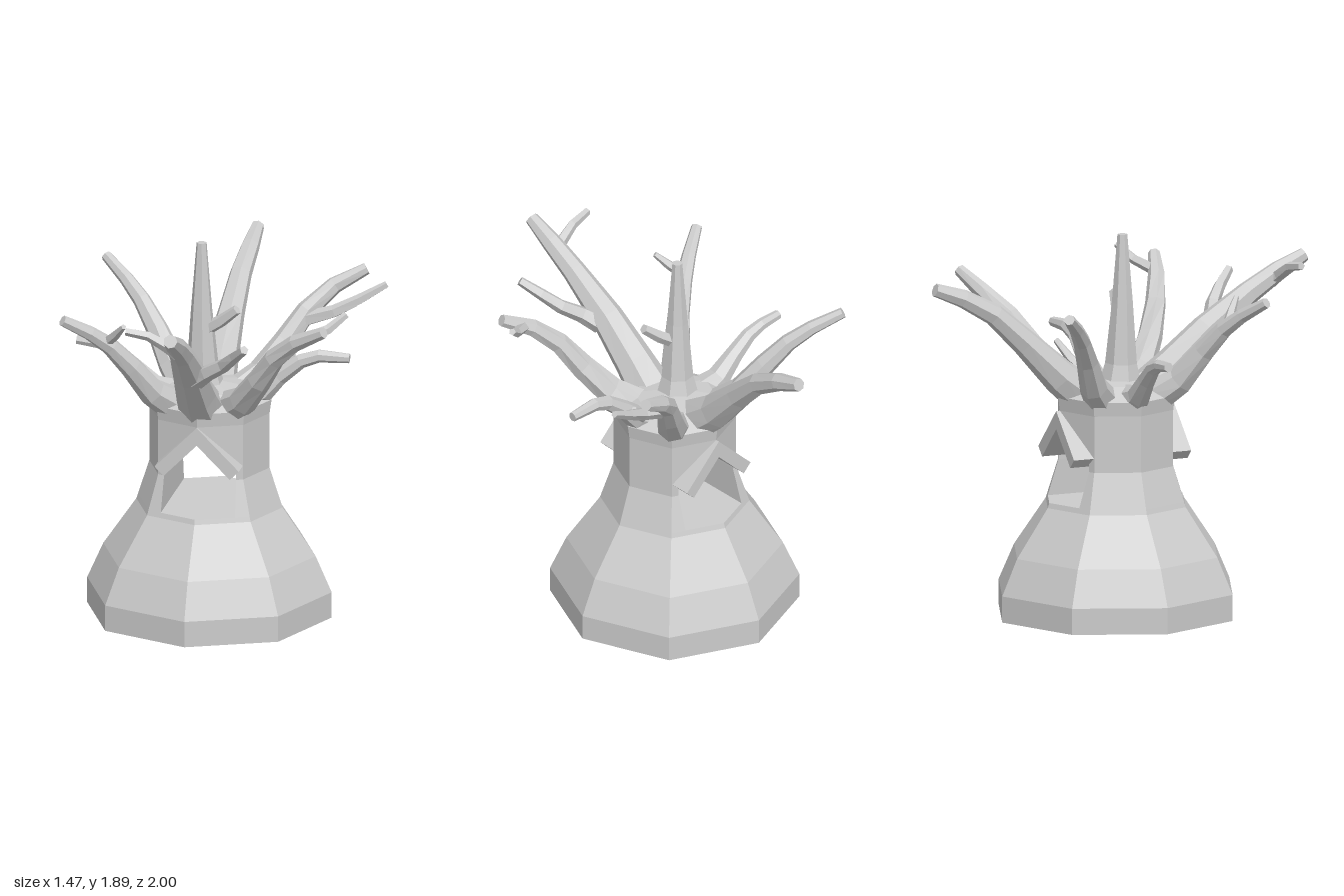
import * as THREE from 'three';

const CX = -0.065, CZ = -0.04; // trunk axis
const HALF = 0.185;            // half width of the passage

const material = () => new THREE.MeshStandardMaterial({ color: 0xcccccc, flatShading: true });

// Collects triangles from Vector3 corners
function builder() {
  const p = [];
  const tri = (a, b, c) => [a, b, c].forEach(v => p.push(v.x, v.y, v.z));
  return {
    tri,
    quad(a, b, c, d) { tri(a, b, c); tri(a, c, d); },
    fan(pts) { for (let i = 1; i < pts.length - 1; i++) tri(pts[0], pts[i], pts[i + 1]); },
    mesh(name) {
      const g = new THREE.BufferGeometry();
      g.setAttribute('position', new THREE.Float32BufferAttribute(p, 3));
      g.computeVertexNormals();
      const m = new THREE.Mesh(g, material());
      m.name = name;
      return m;
    },
  };
}

// Octagonal ring with four extra points where the passage walls cut it
function ring(y, r) {
  const corner = k => new THREE.Vector3(r * Math.sin(k * Math.PI / 4), y, r * Math.cos(k * Math.PI / 4));
  const x = Math.min(HALF, 0.6 * r), z = r - x * Math.tan(Math.PI / 8);
  const cut = (sx, sz) => new THREE.Vector3(sx * x, y, sz * z);
  return [corner(0), cut(1, 1), corner(1), corner(2), corner(3), cut(1, -1),
    corner(4), cut(-1, -1), corner(5), corner(6), corner(7), cut(-1, 1)];
}

// Flared trunk with a passage running front to back
function makeTrunk() {
  const b = builder();
  const profile = [[0, 0.61], [0.13, 0.61], [0.31, 0.53], [0.55, 0.365], [0.575, 0.357],
    [0.75, 0.3], [0.8, 0.3], [1.03, 0.3], [1.1, 0.31], [1.16, 0.2]];
  const rings = profile.map(([y, r]) => ring(y, r));
  const FLOOR = 4, EAVES = 6;
  rings[EAVES][0].y = rings[EAVES][6].y = 0.985; // gable peaks of the opening
  for (let j = 0; j < rings.length - 1; j++) {
    const lo = rings[j], hi = rings[j + 1];
    const open = j >= FLOOR && j < EAVES;
    for (let i = 0; i < 12; i++) {
      const n = (i + 1) % 12;
      if (open && [0, 5, 6, 11].includes(i)) continue;
      b.quad(lo[i], lo[n], hi[n], hi[i]);
    }
    if (open) { // passage walls
      b.quad(lo[5], lo[1], hi[1], hi[5]);
      b.quad(lo[11], lo[7], hi[7], hi[11]);
    }
  }
  b.fan([0, 1, 5, 6, 7, 11].map(i => rings[FLOOR][i])); // passage floor
  b.fan([...rings[0]].reverse());                       // underside
  const top = rings[rings.length - 1], peak = new THREE.Vector3(0, 1.19, 0);
  top.forEach((v, i) => b.tri(v, top[(i + 1) % 12], peak));
  const trunk = b.mesh('trunk');
  trunk.position.set(CX, 0, CZ);
  return trunk;
}

// Two boards meeting in a ridge over the passage
function makeRoof() {
  const s = new THREE.Shape([[0, 1.03], [-0.21, 0.82], [-0.165, 0.775], [0, 0.94],
    [0.165, 0.775], [0.21, 0.82]].map(p => new THREE.Vector2(...p)));
  const roof = new THREE.Mesh(new THREE.ExtrudeGeometry(s, { depth: 0.63, bevelEnabled: false }), material());
  roof.name = 'passageRoof';
  roof.position.set(CX, 0, -0.36);
  return roof;
}

// Tapered faceted limb through points [x, y, z, radius]
function makeLimb(name, path, sides = 7) {
  const b = builder();
  const pts = path.map(p => new THREE.Vector3(p[0], p[1], p[2]));
  const rings = pts.map((p, j) => {
    const dir = pts[Math.min(j + 1, pts.length - 1)].clone().sub(pts[Math.max(j - 1, 0)]).normalize();
    const ref = Math.abs(dir.y) > 0.95 ? new THREE.Vector3(0, 0, 1) : new THREE.Vector3(0, 1, 0);
    const u = ref.clone().cross(dir).normalize(), v = dir.clone().cross(u);
    return Array.from({ length: sides }, (_, i) => {
      const a = (i / sides) * Math.PI * 2;
      return p.clone().addScaledVector(u, Math.cos(a) * path[j][3]).addScaledVector(v, Math.sin(a) * path[j][3]);
    });
  });
  for (let j = 0; j < rings.length - 1; j++) {
    const lo = rings[j], hi = rings[j + 1];
    for (let i = 0; i < sides; i++) {
      const n = (i + 1) % sides;
      b.quad(lo[i], lo[n], hi[n], hi[i]);
    }
  }
  b.fan([...rings[0]].reverse());
  b.fan(rings[rings.length - 1]);
  return b.mesh(name);
}

const BRANCHES = {
  centerBranch: [[-0.09, 1.1, -0.03, 0.12], [-0.095, 1.25, -0.025, 0.08], [-0.1, 1.55, -0.02, 0.053], [-0.1, 1.89, -0.02, 0.025]],
  frontBranch: [[-0.065, 1.06, 0.1, 0.12], [-0.07, 1.2, 0.26, 0.1], [-0.065, 1.37, 0.45, 0.082], [-0.055, 1.535, 0.68, 0.06],
    [-0.05, 1.63, 0.84, 0.05], [-0.05, 1.7, 0.98, 0.035]],
  backBranch: [[-0.07, 1.06, -0.16, 0.11], [-0.07, 1.2, -0.34, 0.09], [-0.055, 1.38, -0.52, 0.068], [-0.04, 1.53, -0.68, 0.055],
    [-0.025, 1.62, -0.84, 0.046], [-0.02, 1.675, -0.99, 0.033]],
  leftBranch: [[0.08, 1.08, -0.04, 0.08], [0.2, 1.14, -0.045, 0.06], [0.28, 1.22, -0.05, 0.046], [0.39, 1.305, -0.05, 0.037],
    [0.48, 1.335, -0.055, 0.033], [0.63, 1.33, -0.06, 0.024]],
  rightBranch: [[-0.22, 1.08, -0.04, 0.09], [-0.35, 1.13, -0.045, 0.06], [-0.45, 1.225, -0.05, 0.045], [-0.54, 1.3, -0.055, 0.037],
    [-0.62, 1.33, -0.06, 0.03], [-0.73, 1.34, -0.06, 0.024]],
  frontLeftBranch: [[0.04, 1.07, 0.06, 0.09], [0.15, 1.16, 0.19, 0.073], [0.25, 1.3, 0.29, 0.062], [0.34, 1.44, 0.36, 0.052],
    [0.46, 1.55, 0.42, 0.043], [0.61, 1.63, 0.475, 0.03]],
  backLeftBranch: [[0.04, 1.07, -0.14, 0.09], [0.15, 1.16, -0.26, 0.073], [0.25, 1.3, -0.35, 0.062], [0.34, 1.44, -0.43, 0.052],
    [0.46, 1.55, -0.52, 0.043], [0.61, 1.63, -0.57, 0.03]],
  frontRightBranch: [[-0.19, 1.07, 0.08, 0.09], [-0.3, 1.18, 0.2, 0.07], [-0.39, 1.33, 0.285, 0.055], [-0.48, 1.45, 0.35, 0.044],
    [-0.57, 1.53, 0.41, 0.036], [-0.69, 1.61, 0.485, 0.027]],
  backRightBranch: [[-0.19, 1.07, -0.16, 0.09], [-0.3, 1.18, -0.265, 0.07], [-0.39, 1.33, -0.34, 0.055], [-0.48, 1.45, -0.41, 0.044],
    [-0.57, 1.53, -0.48, 0.036], [-0.69, 1.61, -0.575, 0.027]],
};

const TWIGS = {
  centerTwig: [[-0.09, 1.44, -0.02, 0.035], [0, 1.5, 0, 0.032], [0.085, 1.57, 0.02, 0.025]],
  frontTwigRight: [[-0.05, 1.58, 0.8, 0.035], [-0.1, 1.62, 0.82, 0.03], [-0.19, 1.675, 0.835, 0.025], [-0.3, 1.695, 0.85, 0.02]],
  frontTwigLeft: [[-0.03, 1.34, 0.46, 0.05], [0.04, 1.4, 0.52, 0.042], [0.13, 1.46, 0.57, 0.036], [0.2, 1.53, 0.64, 0.03], [0.265, 1.595, 0.72, 0.023]],
  leftTwig: [[0.19, 1.15, -0.08, 0.03], [0.25, 1.22, -0.14, 0.025], [0.33, 1.3, -0.18, 0.016]],
  frontLeftTwig: [[0.5, 1.57, 0.43, 0.03], [0.61, 1.61, 0.365, 0.025], [0.69, 1.675, 0.31, 0.018]],
  backLeftTwig: [[0.32, 1.4, -0.4, 0.04], [0.48, 1.45, -0.41, 0.033], [0.6, 1.51, -0.44, 0.027], [0.73, 1.585, -0.475, 0.018]],
  frontRightTwig: [[-0.5, 1.47, 0.36, 0.028], [-0.44, 1.53, 0.41, 0.024], [-0.39, 1.59, 0.46, 0.014]],
};

export function createModel() {
  const model = new THREE.Group();
  model.name = 'hollowTree';
  model.add(makeTrunk(), makeRoof());
  for (const [name, path] of Object.entries(BRANCHES)) model.add(makeLimb(name, path));
  for (const [name, path] of Object.entries(TWIGS)) model.add(makeLimb(name, path, 5));
  return model;
}
